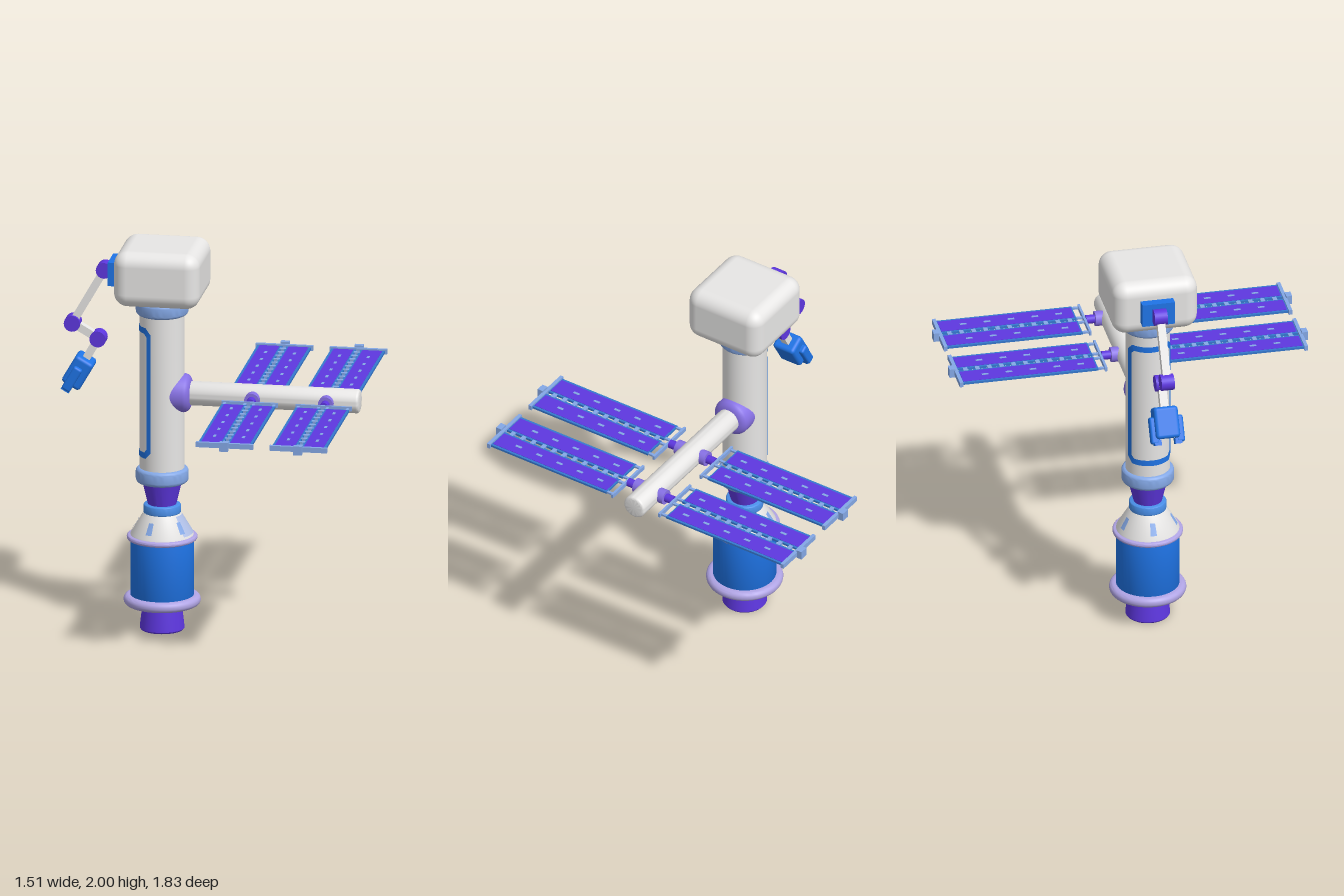
import * as THREE from 'three';
import { toCreasedNormals } from 'three/addons/utils/BufferGeometryUtils.js';
import { RoundedBoxGeometry } from 'three/addons/geometries/RoundedBoxGeometry.js';

const mat = (name, color, side = THREE.FrontSide) => {
  const m = new THREE.MeshStandardMaterial({ color, side });
  m.name = name;
  return m;
};

export function createModel() {
  const white = mat('hull white', 0xe8e7e6);
  const blue = mat('bright blue', 0x1f74e6, THREE.DoubleSide);
  const midBlue = mat('ring blue', 0x4a90ea);
  const steel = mat('steel blue', 0x84a8e6);
  const pale = mat('pale blue', 0xb6c6ee);
  const purple = mat('deep purple', 0x5e37e0);
  const lavender = mat('lavender', 0xb0a4e4);
  const violet = mat('violet', 0x8872e6);
  const frameBlue = mat('panel frame blue', 0x3579cf);

  const model = new THREE.Group();
  const add = (parent, name, geo, material, x = 0, y = 0, z = 0) => {
    const mesh = new THREE.Mesh(geo, material);
    mesh.name = name;
    mesh.position.set(x, y, z);
    parent.add(mesh);
    return mesh;
  };
  const box = (w, h, d) => new THREE.BoxGeometry(w, h, d);
  const lathe = (pts, seg = 48) => toCreasedNormals(
    new THREE.LatheGeometry(pts.map(([r, y]) => new THREE.Vector2(r, y)), seg), 0.6);
  // closed cylinder with rounded rims
  const drum = (r, y0, y1, e) => {
    const pts = [[0, y0]];
    for (let i = 0; i <= 5; i++) {
      const a = (i / 5) * Math.PI / 2;
      pts.push([r - e + e * Math.sin(a), y0 + e - e * Math.cos(a)]);
    }
    for (let i = 0; i <= 5; i++) {
      const a = (i / 5) * Math.PI / 2;
      pts.push([r - e + e * Math.cos(a), y1 - e + e * Math.sin(a)]);
    }
    pts.push([0, y1]);
    return lathe(pts);
  };

  // ---- central column ----
  const column = new THREE.Group();
  column.name = 'column';
  column.position.x = -0.25;
  model.add(column);

  add(column, 'thruster', lathe([[0, 0], [0.106, 0], [0.112, 0.008], [0.111, 0.02], [0.097, 0.14], [0, 0.14]]), purple);
  add(column, 'engineDrum', drum(0.159, 0.14, 0.485, 0.006), blue);
  add(column, 'lowerRing', drum(0.193, 0.129, 0.181, 0.025), lavender);
  add(column, 'upperRing', drum(0.177, 0.467, 0.493, 0.0125), lavender);
  add(column, 'engineShoulder', lathe([[0, 0.48], [0.16, 0.48], [0.157, 0.5], [0.093, 0.607], [0, 0.607]]), white);
  add(column, 'neckRing', drum(0.094, 0.602, 0.652, 0.01), midBlue);
  add(column, 'neckCone', lathe([[0, 0.645], [0.07, 0.645], [0.1, 0.77], [0, 0.77]]), purple);
  add(column, 'lowerCollar', drum(0.132, 0.765, 0.842, 0.02), steel);
  add(column, 'mainBody', lathe([[0, 0.8], [0.112, 0.8], [0.112, 1.68], [0, 1.68]]), white);
  add(column, 'upperCollar', drum(0.132, 1.638, 1.715, 0.02), steel);
  add(column, 'head', new RoundedBoxGeometry(0.435, 0.285, 0.435, 6, 0.07), white, 0, 1.8575);

  // thin plates lying on the conical shoulder: a pale panel at +x and five windows
  const shoulderPlate = (name, material, degrees, width, y0, y1, lift) => {
    const radius = (y) => 0.157 - 0.064 * (y - 0.5) / 0.107 + lift;
    const start = THREE.MathUtils.degToRad(degrees - width / 2), arc = THREE.MathUtils.degToRad(width);
    add(column, name, new THREE.CylinderGeometry(radius(y1), radius(y0), y1 - y0, 16, 1, true, start, arc),
      material, 0, (y0 + y1) / 2);
  };
  shoulderPlate('shoulderPanel', pale, 90, 72, 0.505, 0.6, 0.0015);
  for (let i = 0; i < 5; i++) shoulderPlate('shoulderWindow', steel, -18 + 72 * i, 12.6, 0.52, 0.575, 0.003);

  // hatch outline wrapped around the -x side of the body
  const outline = (w, h, c) => {
    const p = [[w, h - c], [w - c, h], [c - w, h], [-w, h - c], [-w, c - h], [c - w, -h], [w - c, -h], [w, c - h]];
    const out = [];
    p.forEach(([u, v], i) => {
      const [u2, v2] = p[(i + 1) % 8];
      for (let k = 0; k < 12; k++) out.push([u + (u2 - u) * k / 12, v + (v2 - v) * k / 12]);
    });
    return out;
  };
  const outer = outline(0.14, 0.34, 0.032), inner = outline(0.115, 0.309, 0.018);
  const pos = [], idx = [], R = 0.115;
  outer.forEach((o, i) => {
    for (const [u, v] of [o, inner[i]]) pos.push(-R * Math.cos(u / R), 1.245 + v, R * Math.sin(u / R));
    const a = 2 * i, b = (2 * i + 2) % (2 * outer.length);
    idx.push(a, b, a + 1, b, b + 1, a + 1);
  });
  const hatch = new THREE.BufferGeometry();
  hatch.setAttribute('position', new THREE.Float32BufferAttribute(pos, 3));
  hatch.setIndex(idx);
  hatch.computeVertexNormals();
  add(column, 'hatchOutline', hatch, blue);

  // ---- boom ----
  const boomY = 1.232;
  add(model, 'boom', drum(0.061, 0, 0.903, 0.015).rotateZ(-Math.PI / 2), white, -0.15, boomY);
  add(model, 'boomSocket', lathe([[0, 0], [0.098, 0], [0.098, 0.075], [0.094, 0.088], [0.083, 0.1],
    [0.066, 0.108], [0, 0.108]]).rotateZ(-Math.PI / 2), violet, -0.21, boomY);

  // ---- solar wings: two stations, front and back ----
  const wing = (x, front) => {
    const g = new THREE.Group();
    g.name = 'solarWing';
    g.position.set(x, boomY, 0);
    g.rotation.y = front ? 0 : Math.PI;
    model.add(g);
    const rod = (r, z0, z1) => new THREE.CylinderGeometry(r, r, z1 - z0, 24).rotateX(Math.PI / 2).translate(0, 0, (z0 + z1) / 2);
    add(g, 'wingJoint', rod(0.038, 0.04, 0.09), violet);
    add(g, 'wingAxle', rod(0.022, 0.085, 0.135), purple);
    add(g, 'nearBar', box(0.285, 0.022, 0.012), steel, 0, 0, 0.141);
    add(g, 'farBar', box(0.29, 0.026, 0.018), steel, 0, 0, 0.88);
    add(g, 'tipKnob', box(0.044, 0.046, 0.03), steel, 0, 0, 0.9);
    for (const s of [-1, 1]) {
      add(g, 'panelFrame', box(0.126, 0.011, 0.695), frameBlue, s * 0.073, 0, 0.5265);
      add(g, 'panelCells', box(0.1, 0.002, 0.68), purple, s * 0.073, 0.006, 0.5265);
      for (const off of [0.022, 0.125]) add(g, 'panelStem', box(0.014, 0.01, 0.05), steel, s * off, 0, 0.163);
      for (let i = 0; i < 5; i++) {
        add(g, 'cellMark', box(0.014, 0.002, 0.034), steel, s * 0.073, 0.0075, 0.257 + 0.122 * i);
      }
    }
    for (let i = 0; i < 11; i++) add(g, 'hingeRung', box(0.032, 0.013, 0.022), steel, 0, 0, 0.215 + 0.0615 * i);
  };
  for (const x of [0.218, 0.592]) for (const front of [true, false]) wing(x, front);

  // ---- robot arm ----
  const arm = new THREE.Group();
  arm.name = 'robotArm';
  model.add(arm);
  add(arm, 'armMount', box(0.06, 0.122, 0.166), blue, -0.482, 1.853);
  const joints = [[-0.54, 1.855], [-0.702, 1.571], [-0.572, 1.496], [-0.64, 1.377]];
  joints.slice(0, 3).forEach(([x, y], i) => {
    add(arm, 'armJoint', new THREE.CylinderGeometry(0.041, 0.041, 0.066, 28).rotateX(Math.PI / 2), purple, x, y);
    const [x2, y2] = joints[i + 1];
    const link = add(arm, 'armLink', box(0.04, Math.hypot(x2 - x, y2 - y), 0.04), white, (x + x2) / 2, (y + y2) / 2);
    link.rotation.z = Math.atan2(x - x2, y2 - y);
  });

  // gripper hangs along the last link, with a finger on each face
  const gripper = new THREE.Group();
  gripper.name = 'gripper';
  gripper.position.set(-0.625, 1.4, 0);
  gripper.rotation.z = -Math.PI / 6;
  arm.add(gripper);
  add(gripper, 'palm', new RoundedBoxGeometry(0.104, 0.16, 0.125, 3, 0.018), blue, 0, -0.09);
  for (const s of [-1, 1]) {
    add(gripper, 'finger', new RoundedBoxGeometry(0.048, 0.135, 0.045, 3, 0.012), blue, -0.008, -0.125, s * 0.064);
    add(gripper, 'fingerTip', box(0.046, 0.03, 0.034), blue, -0.008, -0.186, s * 0.052);
  }
  return model;
}
